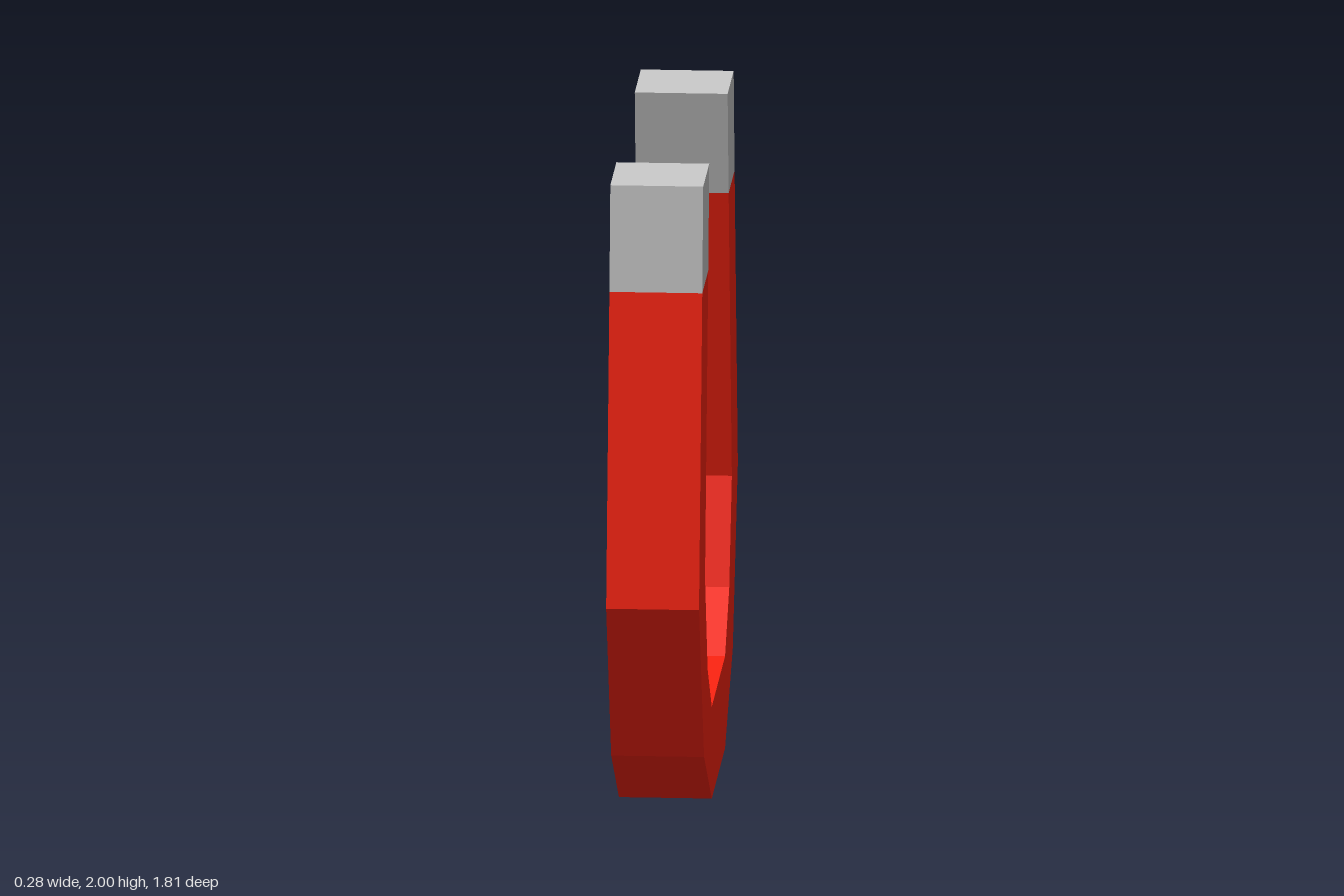
import * as THREE from 'three';

const WIDTH = 0.28;

// Extrudes a [z, y] outline across the x axis, centred on x = 0.
function slab(name, points, material) {
  const shape = new THREE.Shape(points.map(([z, y]) => new THREE.Vector2(z, y)));
  const geometry = new THREE.ExtrudeGeometry(shape, { depth: WIDTH, bevelEnabled: false });
  geometry.translate(0, 0, -WIDTH / 2);
  geometry.rotateY(-Math.PI / 2);
  const mesh = new THREE.Mesh(geometry, material);
  mesh.name = name;
  return mesh;
}

export function createModel() {
  const group = new THREE.Group();
  group.name = 'horseshoeMagnet';
  const red = new THREE.MeshStandardMaterial({ color: 0xff2411, flatShading: true });
  const grey = new THREE.MeshStandardMaterial({ color: 0xcccccc, flatShading: true });

  // Half outlines of the bend, from the bottom up to the tip
  const outer = [[0.31, 0], [0.67, 0.22], [0.905, 0.735], [0.753, 1.68]];
  const inner = [[0.31, 0.285], [0.505, 0.45], [0.625, 0.765], [0.475, 1.68]];
  const mirror = (points) => points.map(([z, y]) => [-z, y]).reverse();

  // Red U-shaped body
  const outline = [...mirror(outer), ...outer, ...[...inner].reverse(), ...mirror(inner).reverse()];
  group.add(slab('magnetBody', outline, red));

  // Grey pole tips
  const tip = [[0.475, 1.68], [0.753, 1.68], [0.71, 2], [0.428, 2]];
  group.add(slab('frontPoleTip', tip, grey));
  group.add(slab('backPoleTip', mirror(tip), grey));

  return group;
}
